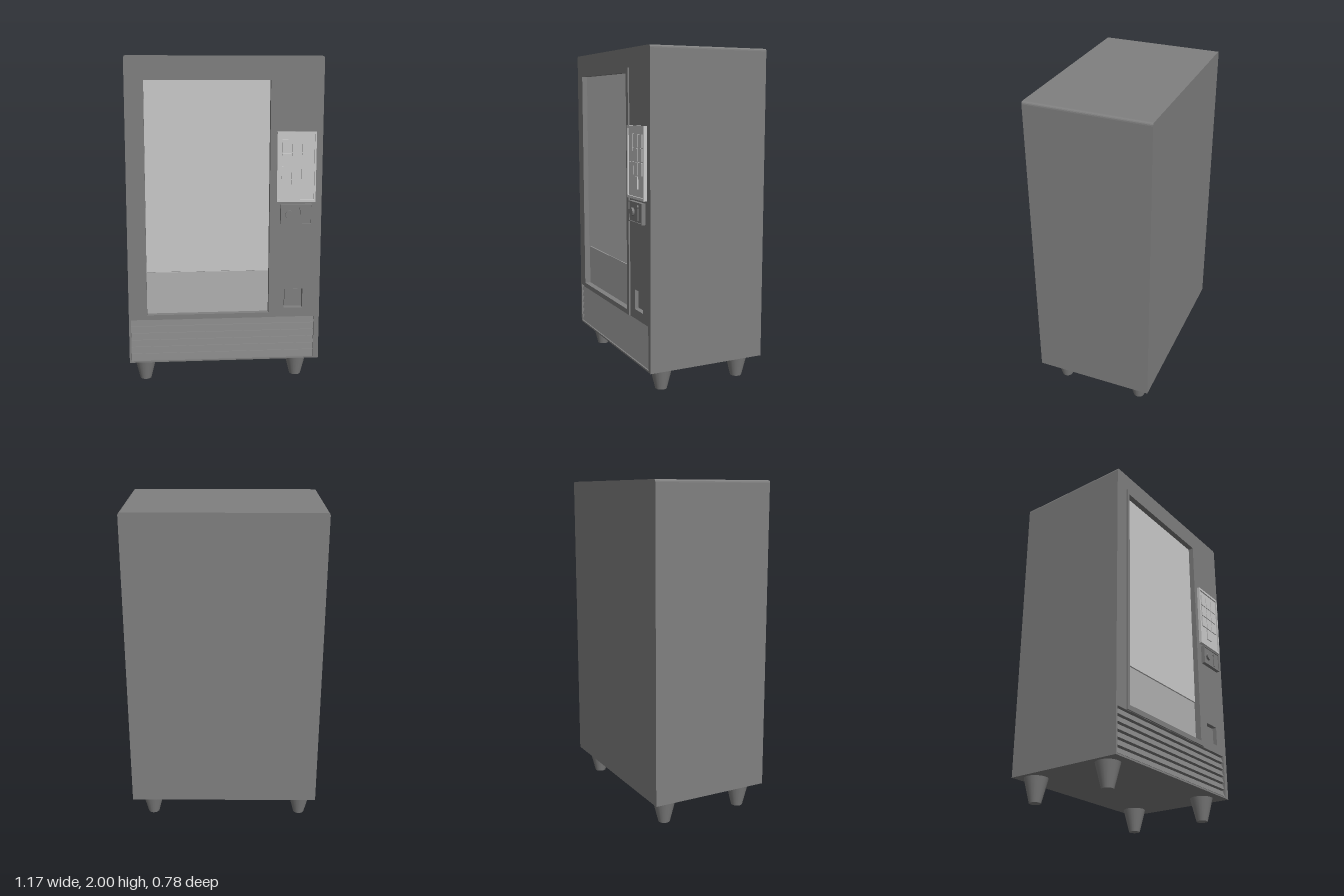
import * as THREE from 'three';

const mat = (color) => new THREE.MeshStandardMaterial({ color, flatShading: true });
const BACK = -0.39, FRONT = 0.357, RECESS = 0.04;

export function createModel() {
  const model = new THREE.Group();
  const shell = mat(0x808080), light = mat(0xcccccc), flapGrey = mat(0xb2b2b2);

  const add = (name, geometry, material, parent = model) => {
    const mesh = new THREE.Mesh(geometry, material);
    mesh.name = name;
    parent.add(mesh);
    return mesh;
  };
  // Box given by its limits on each axis
  const box = (name, x0, x1, y0, y1, z0, z1, material, parent) => {
    const g = new THREE.BoxGeometry(x1 - x0, y1 - y0, z1 - z0);
    g.translate((x0 + x1) / 2, (y0 + y1) / 2, (z0 + z1) / 2);
    return add(name, g, material, parent);
  };
  const rect = (x0, x1, y0, y1, Type = THREE.Path) => new Type([
    [x0, y0], [x1, y0], [x1, y1], [x0, y1]].map(([x, y]) => new THREE.Vector2(x, y)));
  const slab = (shape, z0, z1) => {
    const g = new THREE.ExtrudeGeometry(shape, { depth: z1 - z0, bevelEnabled: false, curveSegments: 4 });
    return g.translate(0, 0, z0);
  };

  // Cabinet outline: square at the bottom, small rounds at the top
  const outline = () => {
    const w = 0.587, r = 0.016, s = new THREE.Shape();
    s.moveTo(-w, 0.145);
    s.lineTo(w, 0.145);
    s.lineTo(w, 2 - r);
    s.quadraticCurveTo(w, 2, w - r, 2);
    s.lineTo(-w + r, 2);
    s.quadraticCurveTo(-w, 2, -w, 2 - r);
    return s;
  };
  add('cabinet', slab(outline(), BACK, FRONT - RECESS), shell);
  const face = outline();
  face.holes.push(
    rect(-0.475, 0.27, 0.45, 1.86),
    rect(0.365, 0.48, 0.475, 0.595),
    rect(-0.575, 0.555, 0.155, 0.418));
  add('frontFace', slab(face, FRONT - RECESS, FRONT), shell);

  // Display window with raised frame and delivery flap
  const frame = rect(-0.495, 0.3, 0.42, 1.89, THREE.Shape);
  frame.holes.push(rect(-0.475, 0.27, 0.45, 1.86));
  add('windowFrame', slab(frame, FRONT, 0.366), shell);
  box('window', -0.475, 0.27, 0.712, 1.86, 0.31, 0.332, light);
  box('deliveryFlap', -0.475, 0.27, 0.45, 0.707, 0.31, 0.328, flapGrey);

  // Louvred grille: one stepped profile drawn across the width
  const louvre = new THREE.Shape();
  const rows = 6, y0 = 0.155, pitch = 0.263 / rows;
  louvre.moveTo(0.31, y0);
  for (let i = 0; i < rows; i++) {
    const y = y0 + i * pitch;
    louvre.lineTo(0.352, y + 0.004);
    louvre.lineTo(0.338, y + pitch - 0.004);
    louvre.lineTo(0.328, y + pitch);
  }
  louvre.lineTo(0.31, y0 + rows * pitch);
  const grille = add('grille', slab(louvre, -0.565, 0.565), shell);
  grille.rotation.y = -Math.PI / 2;
  grille.position.x = -0.01;

  // Selection keypad: plate, raised rim and keys
  const keypad = new THREE.Group();
  keypad.name = 'keypad';
  model.add(keypad);
  box('keypadPlate', 0.32, 0.535, 1.155, 1.545, 0.35, 0.37, light, keypad);
  const rim = rect(0.31, 0.545, 1.14, 1.56, THREE.Shape);
  rim.holes.push(rect(0.32, 0.535, 1.155, 1.545));
  add('keypadRim', slab(rim, 0.35, 0.379), light, keypad);
  for (let row = 0; row < 4; row++) {
    for (let col = 0; col < 3; col++) {
      if (row === 3 && col !== 1) continue;
      const x = 0.366 + col * 0.06, y = 1.476 - row * 0.08;
      box('key', x - 0.027, x + 0.027, y - 0.037, y + 0.037, 0.365, 0.377, light, keypad);
    }
  }

  // Coin unit: housing, raised edge, round button and slot
  const coin = new THREE.Group();
  coin.name = 'coinUnit';
  model.add(coin);
  box('coinPlate', 0.335, 0.525, 1.003, 1.125, 0.35, 0.376, shell, coin);
  const edge = rect(0.335, 0.525, 1.003, 1.125, THREE.Shape);
  edge.holes.push(rect(0.341, 0.519, 1.009, 1.119));
  add('coinEdge', slab(edge, 0.37, 0.382), shell, coin);
  const button = add('coinButton', new THREE.CylinderGeometry(0.025, 0.025, 0.02, 20), shell, coin);
  button.rotation.x = Math.PI / 2;
  button.position.set(0.388, 1.063, 0.38);
  box('coinSlot', 0.453, 0.465, 1.02, 1.105, 0.37, 0.382, shell, coin);
  const pin = add('coinSlotPin', new THREE.CylinderGeometry(0.01, 0.01, 0.014, 12), shell, coin);
  pin.rotation.x = Math.PI / 2;
  pin.position.set(0.459, 1.1, 0.377);

  // Coin return flap inside its pocket
  box('coinReturn', 0.372, 0.473, 0.482, 0.588, 0.31, 0.335, shell);

  // Tapered feet
  const foot = new THREE.CylinderGeometry(0.072, 0.035, 0.147, 20);
  const footMat = new THREE.MeshStandardMaterial({ color: 0x808080 });
  for (const x of [-0.492, 0.464]) {
    for (const z of [0.232, -0.288]) {
      add('foot', foot, footMat).position.set(x, 0.0735, z);
    }
  }
  return model;
}
